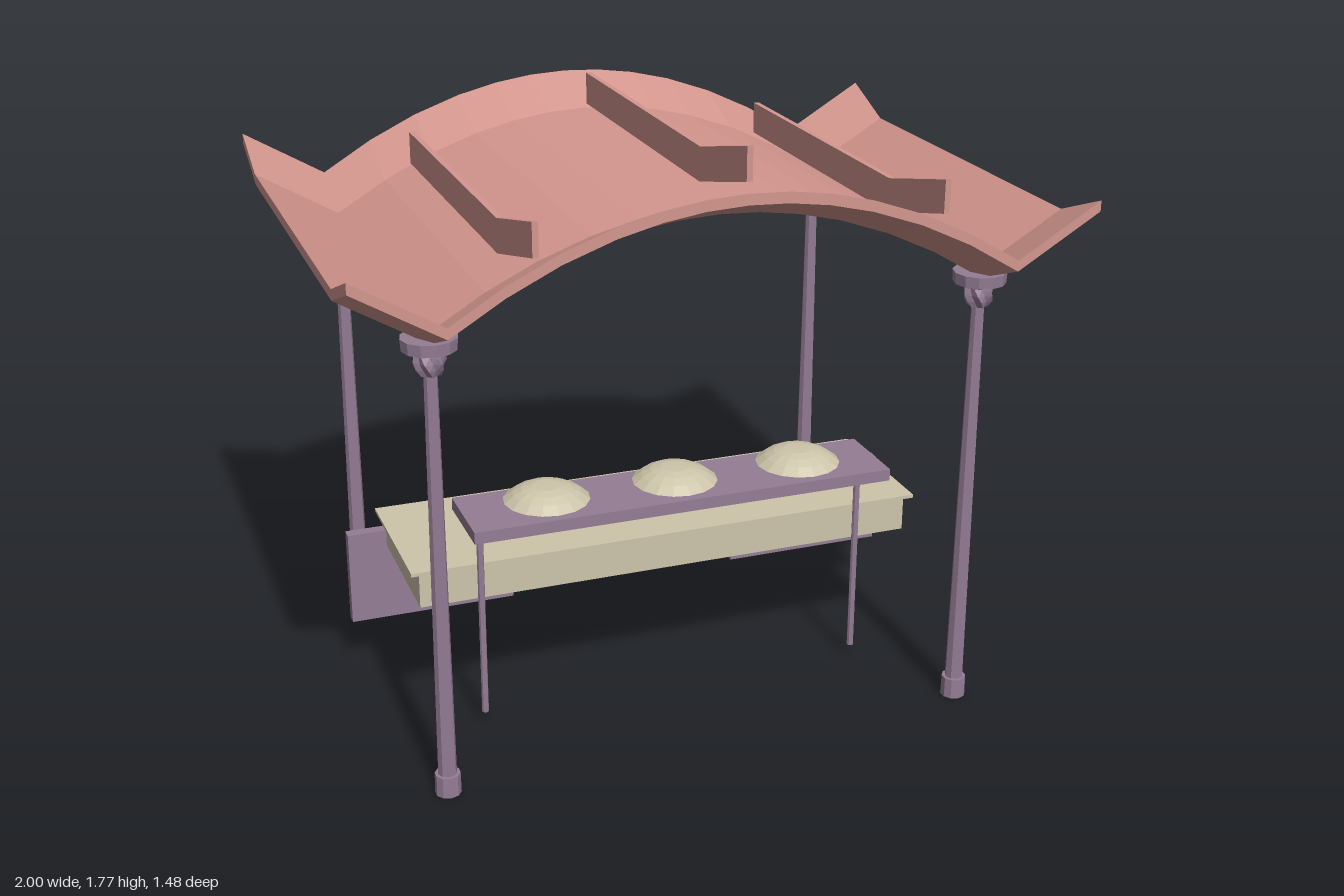
import * as THREE from 'three';

const mat = (name, color) => {
  const m = new THREE.MeshStandardMaterial({ color });
  m.name = name;
  m.flatShading = true;
  return m;
};

export function createModel() {
  const group = new THREE.Group();
  group.name = 'marketStall';
  const pink = mat('rosePink', 0xd4978f);
  const purple = mat('duskyPurple', 0x957d95);
  const cream = mat('cream', 0xcdc5aa);

  const add = (name, geo, material, x = 0, y = 0, z = 0, parent = group) => {
    const mesh = new THREE.Mesh(geo, material);
    mesh.name = name;
    mesh.position.set(x, y, z);
    parent.add(mesh);
    return mesh;
  };
  // Box given by its limits on each axis
  const box = (name, material, x0, x1, y0, y1, z0, z1) =>
    add(name, new THREE.BoxGeometry(x1 - x0, y1 - y0, z1 - z0), material,
      (x0 + x1) / 2, (y0 + y1) / 2, (z0 + z1) / 2);

  // Roof: arched sheet with upturned eaves, lifted at the front and back
  add('roof', roofGeometry(), pink);

  // Roof ribs: floating strips that kink upwards at the front
  for (const [x, y] of [[-0.545, 1.465], [0, 1.6], [0.545, 1.465]]) {
    const s = new THREE.Shape([[0.5, 0], [-0.43, 0], [-0.74, 0.08], [-0.74, 0.17], [-0.43, 0.093], [0.5, 0.093]]
      .map(([a, b]) => new THREE.Vector2(a, b)));
    const g = new THREE.ExtrudeGeometry(s, { depth: 0.016, bevelEnabled: false });
    g.translate(0, 0, -0.008).rotateY(Math.PI / 2);
    add('roofRib', g, pink, x, y, 0);
  }

  // Columns with foot, tapered shaft, twisted capital and cap plate
  for (const x of [-0.765, 0.765]) for (const z of [-0.545, 0.545]) {
    const column = new THREE.Group();
    column.name = 'column';
    column.position.set(x, 0, z);
    group.add(column);
    const cyl = (name, rTop, rBottom, y0, y1, n) =>
      add(name, new THREE.CylinderGeometry(rTop, rBottom, y1 - y0, n), purple, 0, (y0 + y1) / 2, 0, column);
    cyl('columnFoot', 0.035, 0.036, 0, 0.06, 10);
    cyl('columnShaft', 0.018, 0.026, 0.06, 1.23, 8);
    add('twistedCapital', twistGeometry(), purple, 0, 1.245, 0, column);
    cyl('capUnderside', 0.06, 0.05, 1.27, 1.28, 12);
    cyl('capPlate', 0.074, 0.072, 1.278, 1.31, 12);
  }

  // Counter
  box('counterBody', cream, -0.745, 0.745, 0.39, 0.495, -0.21, 0.215);
  box('counterTop', cream, -0.77, 0.77, 0.495, 0.505, -0.225, 0.23);

  // Back panels
  for (const s of [-1, 1]) {
    box('backPanel', purple, s * 0.61 - 0.25, s * 0.61 + 0.25, 0.155, 0.44, -0.235, -0.2);
  }

  // Serving shelf on two thin legs
  box('shelf', purple, -0.62, 0.62, 0.63, 0.665, 0.12, 0.36);
  for (const x of [-0.575, 0.575]) {
    add('shelfLeg', new THREE.CylinderGeometry(0.01, 0.01, 0.59, 8), purple, x, 0.335, 0.24);
  }

  // Shallow domes above the shelf
  const dome = new THREE.LatheGeometry([[0, 0], [0.122, 0], [0.096, 0.02], [0.07, 0.033], [0.04, 0.04], [0, 0.041]]
    .map(([r, y]) => new THREE.Vector2(r, y)), 16);
  for (const x of [-0.38, 0, 0.38]) add('dome', dome, cream, x, 0.679, 0.24);

  return group;
}

// Sheet of constant thickness swept along z
function roofGeometry() {
  const half = [0.11, 0.22, 0.34, 0.48, 0.62, 0.765];
  const arch = (x) => [x, 1.545 - 0.435 * x * x];
  const profile = [[-1, 1.43], ...half.slice().reverse().map((x) => arch(-x)), arch(0), ...half.map(arch), [1, 1.43]];
  const sections = [[-0.74, 0.075], [-0.55, 0], [0.55, 0], [0.74, 0.075]];
  const at = (i, j, t) => [profile[i][0], profile[i][1] + sections[j][1] + t * 0.03, sections[j][0]];
  const pos = [];
  const quad = (a, b, c, d) => pos.push(...a, ...b, ...c, ...a, ...c, ...d);
  const n = profile.length - 1;
  const m = sections.length - 1;
  for (let i = 0; i < n; i++) {
    for (let j = 0; j < m; j++) {
      quad(at(i, j, 1), at(i, j + 1, 1), at(i + 1, j + 1, 1), at(i + 1, j, 1));
      quad(at(i, j, 0), at(i + 1, j, 0), at(i + 1, j + 1, 0), at(i, j + 1, 0));
    }
    quad(at(i, m, 0), at(i + 1, m, 0), at(i + 1, m, 1), at(i, m, 1));
    quad(at(i + 1, 0, 0), at(i, 0, 0), at(i, 0, 1), at(i + 1, 0, 1));
  }
  for (let j = 0; j < m; j++) {
    quad(at(n, j, 0), at(n, j, 1), at(n, j + 1, 1), at(n, j + 1, 0));
    quad(at(0, j, 0), at(0, j + 1, 0), at(0, j + 1, 1), at(0, j, 1));
  }
  const g = new THREE.BufferGeometry();
  g.setAttribute('position', new THREE.Float32BufferAttribute(pos, 3));
  g.computeVertexNormals();
  return g;
}

// Lobed bulb, twisted about its axis
function twistGeometry() {
  const g = new THREE.CylinderGeometry(1, 1, 0.07, 12, 4);
  const p = g.attributes.position;
  for (let i = 0; i < p.count; i++) {
    const x = p.getX(i), y = p.getY(i), z = p.getZ(i);
    const a = Math.atan2(z, x);
    const bulge = 0.024 + 0.015 * Math.cos(y / 0.035 * 1.4);
    const r = Math.hypot(x, z) * bulge * (1 + 0.12 * Math.cos(6 * a));
    const b = a + y * 14;
    p.setXYZ(i, r * Math.cos(b), y, r * Math.sin(b));
  }
  g.computeVertexNormals();
  return g;
}
